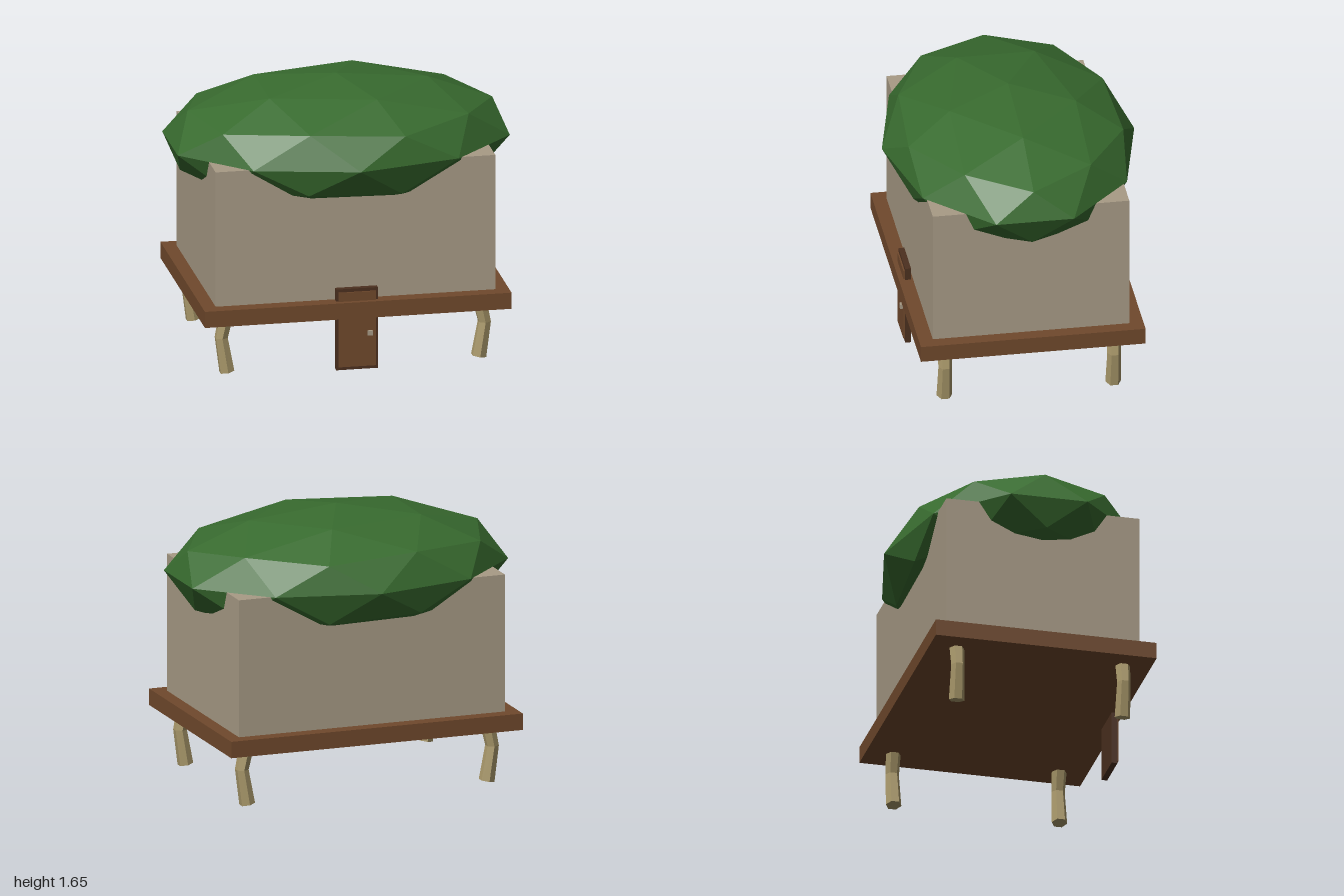
import * as THREE from 'three';

function makeMaterial(name, color) {
  const m = new THREE.MeshStandardMaterial({ color });
  m.name = name;
  return m;
}

// Give every face its own normal for a faceted look
function faceted(geometry) {
  const g = geometry.index ? geometry.toNonIndexed() : geometry;
  g.computeVertexNormals();
  return g;
}

export function createModel() {
  const wall = makeMaterial('wall clay', 0xa89b86);
  const wood = makeMaterial('brown wood', 0x70492c);
  const darkWood = makeMaterial('dark wood', 0x4c301f);
  const leaf = makeMaterial('leaf green', 0x386b2f);
  const pale = makeMaterial('pale wood', 0xaa996b);

  const model = new THREE.Group();
  model.name = 'stiltHouse';

  function add(name, geometry, material, parent = model) {
    const mesh = new THREE.Mesh(geometry, material);
    mesh.name = name;
    parent.add(mesh);
    return mesh;
  }

  // Box given by its lower and upper limits on each axis
  function addBox(name, material, [x0, x1], [y0, y1], [z0, z1], parent) {
    const mesh = add(name, new THREE.BoxGeometry(x1 - x0, y1 - y0, z1 - z0), material, parent);
    mesh.position.set((x0 + x1) / 2, (y0 + y1) / 2, (z0 + z1) / 2);
    return mesh;
  }

  // House body and deck
  addBox('walls', wall, [-0.842, 0.842], [0.44, 1.275], [-0.588, 0.588]);
  addBox('deck', wood, [-0.923, 0.923], [0.34, 0.44], [-0.672, 0.672]);

  // Leafy roof: squashed faceted ball with one corner pointing up
  const canopy = new THREE.IcosahedronGeometry(1, 1);
  canopy.rotateZ(-Math.atan(2 / (1 + Math.sqrt(5))));
  canopy.scale(1.051, 0.375, 0.755);
  add('canopy', faceted(canopy), leaf).position.y = 1.275;

  // Door with raised panel and knob
  const door = new THREE.Group();
  door.name = 'door';
  model.add(door);
  addBox('doorFrame', darkWood, [-0.125, 0.125], [0.013, 0.515], [0.6, 0.635], door);
  addBox('doorPanel', wood, [-0.112, 0.112], [0.033, 0.495], [0.635, 0.644], door);
  addBox('doorKnob', wall, [0.06, 0.09], [0.225, 0.253], [0.644, 0.66], door);

  // Bent six-sided legs: rows are [height, outward shift, radius, end tilt]
  const rows = [[0.345, 0.765, 0.045, 0], [0.22, 0.792, 0.041, 0], [0.008, 0.758, 0.047, -0.18]];
  for (const side of [-1, 1]) {
    for (const end of [-1, 1]) {
      const leg = new THREE.CylinderGeometry(1, 1, 2, 6, 2);
      const p = leg.attributes.position;
      for (let i = 0; i < p.count; i++) {
        const [y, out, r, tilt] = rows[Math.round(1 - p.getY(i))];
        const x = p.getX(i) * r;
        p.setXYZ(i, side * out + x, y - side * tilt * x * -1, p.getZ(i) * r);
      }
      const name = (end > 0 ? 'front' : 'back') + (side > 0 ? 'Left' : 'Right') + 'Leg';
      add(name, faceted(leg), pale).position.z = end * 0.505;
    }
  }

  return model;
}
